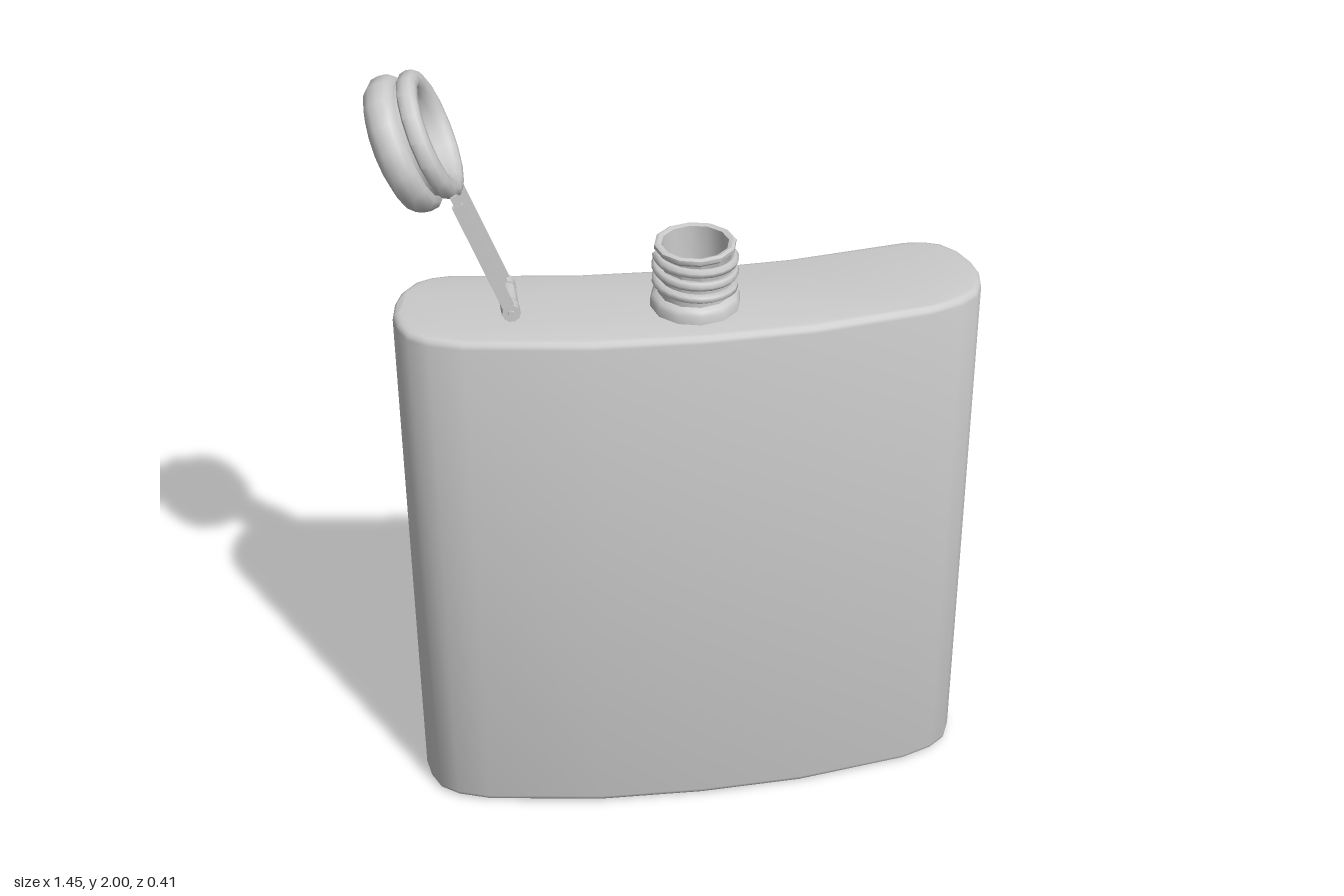
import * as THREE from 'three';
import { toCreasedNormals } from 'three/addons/utils/BufferGeometryUtils.js';

const material = new THREE.MeshStandardMaterial({ color: 0xcccccc });
const openMaterial = new THREE.MeshStandardMaterial({ color: 0xcccccc, side: THREE.DoubleSide });

function part(name, geometry, mat = material) {
  const mesh = new THREE.Mesh(geometry, mat);
  mesh.name = name;
  return mesh;
}

function lathe(points, sides, crease = 0.9) {
  const profile = points.map(([r, y]) => new THREE.Vector2(r, y));
  return toCreasedNormals(new THREE.LatheGeometry(profile, sides), crease);
}

// Curved flask body: half outline seen from above, mirrored and extruded upwards
function createBody() {
  const half = [
    [0, 0.2], [0.265, 0.19], [0.555, 0.145], [0.635, 0.115], [0.68, 0.08], [0.702, 0.03],
    [0.71, -0.02], [0.703, -0.075], [0.685, -0.125], [0.65, -0.168], [0.61, -0.185],
    [0.56, -0.19], [0.265, -0.147], [0, -0.135],
  ];
  const mirrored = half.slice(1, -1).reverse().map(([x, z]) => [-x, z]);
  const shape = new THREE.Shape([...half, ...mirrored].map(([x, z]) => new THREE.Vector2(x, -z)));
  const bevel = 0.018;
  const geometry = new THREE.ExtrudeGeometry(shape, {
    depth: 1.405 - 2 * bevel, bevelThickness: bevel, bevelSize: bevel,
    bevelOffset: -bevel, bevelSegments: 3,
  });
  geometry.translate(0, 0, bevel);
  geometry.rotateX(-Math.PI / 2);
  geometry.translate(0.015, 0, 0);
  return part('body', toCreasedNormals(geometry, 0.8));
}

// Hollow neck with a collar and a helical thread
function createNeck() {
  const neck = new THREE.Group();
  neck.name = 'neck';
  neck.position.set(0.018, 1.4, 0.035);
  neck.add(part('neckTube', lathe([
    [0.108, -0.005], [0.108, 0.025], [0.102, 0.036], [0.09, 0.042], [0.088, 0.15],
    [0.097, 0.158], [0.097, 0.168], [0.09, 0.172], [0.08, 0.168], [0.078, 0.006],
  ], 12), openMaterial));

  const turns = 2.5;
  const points = [];
  for (let i = 0; i <= turns * 12; i++) {
    const a = (i / 12) * Math.PI * 2;
    points.push(new THREE.Vector3(0.092 * Math.cos(a), 0.058 + (i / 12) * 0.034, 0.092 * Math.sin(a)));
  }
  const curve = new THREE.CatmullRomCurve3(points);
  neck.add(part('thread', new THREE.TubeGeometry(curve, 60, 0.012, 6)));
  return neck;
}

// Opened lid: the group's y runs along the arm, its x points out of the cap
function createLid() {
  const lid = new THREE.Group();
  lid.name = 'lid';
  lid.position.set(-0.42, 1.43, -0.008);
  lid.rotation.z = 0.363;

  // Forked arm, notched around the hinge lug
  const outline = [
    [-0.075, 0], [-0.042, 0], [-0.042, 0.045], [0.042, 0.045], [0.042, 0], [0.075, 0],
    [0.072, 0.335], [-0.072, 0.335],
  ].map(([x, y]) => new THREE.Vector2(x, y));
  const armGeometry = new THREE.ExtrudeGeometry(new THREE.Shape(outline), { depth: 0.016, bevelEnabled: false });
  armGeometry.translate(0, 0, -0.008);
  armGeometry.rotateY(Math.PI / 2);
  lid.add(part('arm', armGeometry));

  for (const side of [-1, 1]) {
    const knuckle = new THREE.CylinderGeometry(0.022, 0.022, 0.033, 10);
    knuckle.rotateX(Math.PI / 2);
    knuckle.translate(0, 0, side * 0.0585);
    lid.add(part('hingeKnuckle', toCreasedNormals(knuckle, 0.9)));

    const rail = new THREE.BoxGeometry(0.028, 0.3, 0.012);
    rail.translate(0, 0.16, side * 0.068);
    lid.add(part('armRail', rail));
  }

  // Screw cap: domed back, groove, front ring and hollow inside
  const cap = lathe([
    [0, -0.143], [0.06, -0.141], [0.11, -0.134], [0.145, -0.122], [0.16, -0.105],
    [0.163, -0.085], [0.16, -0.065], [0.152, -0.056], [0.138, -0.052], [0.138, -0.044],
    [0.15, -0.038], [0.154, -0.022], [0.15, -0.007], [0.138, 0], [0.122, 0],
    [0.11, -0.01], [0.105, -0.025], [0.1, -0.085], [0, -0.085],
  ], 16);
  cap.rotateZ(-Math.PI / 2);
  const capMesh = part('cap', cap);
  capMesh.position.set(0.025, 0.452, -0.027);
  capMesh.rotation.y = -0.1;
  lid.add(capMesh);
  return lid;
}

// Hinge lug rising from the top, with a rounded head and a pin through it
function createHinge() {
  const hinge = new THREE.Group();
  hinge.name = 'hinge';
  hinge.position.set(-0.42, 1.43, -0.008);
  const lug = part('hingeLug', new THREE.BoxGeometry(0.042, 0.04, 0.074));
  lug.position.y = -0.02;
  const head = part('hingeHead', toCreasedNormals(new THREE.CylinderGeometry(0.021, 0.021, 0.074, 10), 0.9));
  const pin = part('hingePin', toCreasedNormals(new THREE.CylinderGeometry(0.009, 0.009, 0.16, 8), 0.9));
  head.rotation.x = pin.rotation.x = Math.PI / 2;
  hinge.add(lug, head, pin);
  return hinge;
}

export function createModel() {
  const flask = new THREE.Group();
  flask.name = 'flask';
  flask.add(createBody(), createNeck(), createLid(), createHinge());
  return flask;
}
